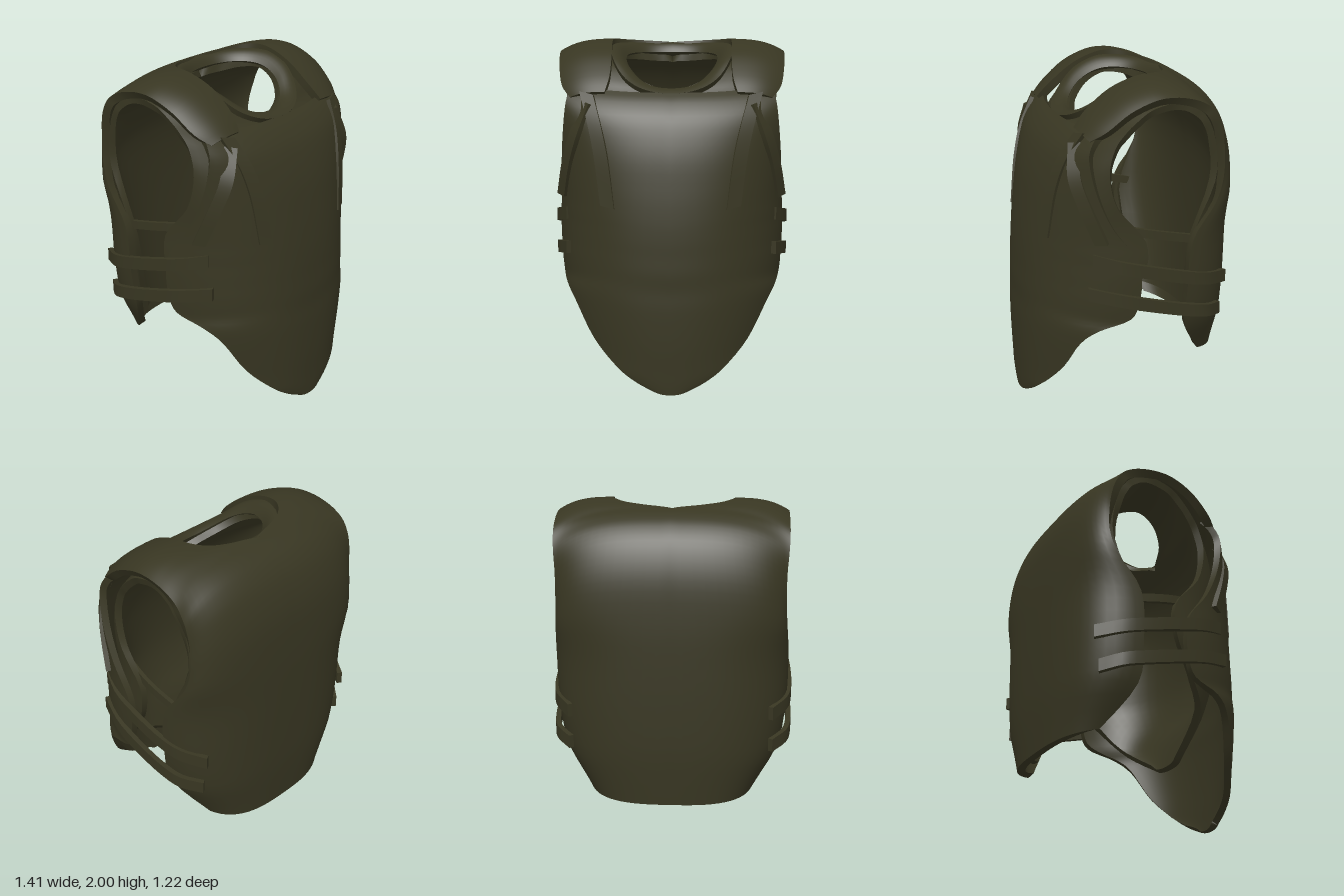
import * as THREE from 'three';
import { mergeGeometries, toCreasedNormals } from 'three/addons/utils/BufferGeometryUtils.js';

const V = (x, y, z) => new THREE.Vector3(x, y, z);

// Catmull-Rom blend through rows of numbers
function sampleRows(rows, t) {
  const n = rows.length - 1;
  const i = Math.min(Math.floor(t * n), n - 1);
  const f = t * n - i;
  const [a, b, c, d] = [rows[Math.max(i - 1, 0)], rows[i], rows[i + 1], rows[Math.min(i + 2, n)]];
  return b.map((p, k) => {
    const m1 = (c[k] - a[k]) / 2, m2 = (d[k] - p) / 2;
    return p + m1 * f + (3 * (c[k] - p) - 2 * m1 - m2) * f * f + (2 * (p - c[k]) + m1 + m2) * f ** 3;
  });
}

// Half panel: each row is [bend, innerX, innerY, innerZ, outerX, outerY, outerZ]
function panel(rows, power) {
  return (u, v) => {
    const [bend, xn, yi, zi, xe, ye, ze] = sampleRows(rows, v);
    const a = Math.min(Math.max(bend, 0.1), 1) * Math.PI / 2;
    const across = Math.sin(u * a) / Math.sin(a);
    const back = Math.pow((1 - Math.cos(u * a)) / (1 - Math.cos(a)), power);
    const x0 = Math.max(xn, 0);
    return V(x0 + (xe - x0) * across, yi + (ye - yi) * back, zi + (ze - zi) * back);
  };
}

// Solid sheet from a surface rule, thickened inwards
function shell(fn, nu, nv, thick) {
  const outer = [], inner = [], e = 1e-3;
  for (let j = 0; j <= nv; j++) {
    for (let i = 0; i <= nu; i++) {
      const u = i / nu, v = j / nv, p = fn(u, v);
      const du = fn(Math.min(u + e, 1), v).sub(fn(Math.max(u - e, 0), v));
      const dv = fn(u, Math.min(v + e, 1)).sub(fn(u, Math.max(v - e, 0)));
      const n = du.cross(dv);
      if (Math.abs(p.x) < 1e-6) n.x = 0;
      outer.push(p);
      inner.push(p.clone().addScaledVector(n.normalize(), -thick));
    }
  }
  const pos = [], at = (i, j) => j * (nu + 1) + i;
  const quad = (a, b, c, d) => [a, b, c, a, c, d].forEach((p) => pos.push(p.x, p.y, p.z));
  const wall = (a, b) => quad(outer[b], outer[a], inner[a], inner[b]);
  for (let j = 0; j < nv; j++) {
    for (let i = 0; i < nu; i++) {
      const [a, b, c, d] = [at(i, j), at(i + 1, j), at(i + 1, j + 1), at(i, j + 1)];
      quad(outer[a], outer[b], outer[c], outer[d]);
      quad(inner[d], inner[c], inner[b], inner[a]);
    }
    wall(at(nu, j), at(nu, j + 1));
    wall(at(0, j + 1), at(0, j));
  }
  for (let i = 0; i < nu; i++) {
    wall(at(i, 0), at(i + 1, 0));
    wall(at(i + 1, nv), at(i, nv));
  }
  const g = new THREE.BufferGeometry();
  g.setAttribute('position', new THREE.Float32BufferAttribute(pos, 3));
  return g;
}

// Copy across x = 0 with the corner order reversed
function mirrored(g) {
  const m = g.clone(), p = m.attributes.position, s = g.attributes.position;
  for (let i = 0; i < p.count; i += 3) {
    [0, 2, 1].forEach((k, c) => p.setXYZ(i + c, -s.getX(i + k), s.getY(i + k), s.getZ(i + k)));
  }
  return m;
}

export function createModel() {
  const group = new THREE.Group();
  const olive = new THREE.MeshStandardMaterial({ color: 0x383622, side: THREE.DoubleSide });
  olive.name = 'olive';
  const add = (name, half) => {
    const mesh = new THREE.Mesh(toCreasedNormals(mergeGeometries([half, mirrored(half)]), 0.85), olive);
    mesh.name = name;
    group.add(mesh);
  };

  // Chest plate, from the pointed hem up to the neckline
  add('frontPanel', shell(panel([
    [0.15, 0, 0.0, 0.6, 0.09, 0.015, 0.59],
    [0.25, 0, 0.06, 0.603, 0.2, 0.07, 0.573],
    [0.35, 0, 0.14, 0.605, 0.31, 0.15, 0.54],
    [0.5, 0, 0.3, 0.61, 0.45, 0.3, 0.455],
    [0.65, 0, 0.5, 0.61, 0.56, 0.5, 0.37],
    [0.8, 0, 0.62, 0.605, 0.62, 0.59, 0.27],
    [0.95, 0, 0.72, 0.605, 0.655, 0.65, 0.1],
    [1, 0, 0.82, 0.6, 0.665, 0.76, 0.05],
    [1, 0, 0.92, 0.595, 0.67, 0.9, 0.04],
    [1, 0, 1.04, 0.585, 0.665, 1.03, 0.07],
    [0.9, 0, 1.2, 0.565, 0.65, 1.2, 0.2],
    [0.8, 0, 1.4, 0.53, 0.635, 1.4, 0.29],
    [0.75, 0, 1.58, 0.47, 0.615, 1.6, 0.33],
    [0.6, 0, 1.68, 0.4, 0.6, 1.7, 0.3],
    [0.4, 0, 1.73, 0.34, 0.58, 1.76, 0.24],
  ], 1.15), 14, 56, 0.04));

  // Back plate continuing over the shoulders into the front flaps
  add('backPanelAndShoulders', shell(panel([
    [0.3, 0.38, 1.735, 0.345, 0.58, 1.7, 0.315],
    [0.3, 0.355, 1.82, 0.27, 0.635, 1.76, 0.235],
    [0.3, 0.35, 1.93, 0.13, 0.66, 1.86, 0.11],
    [0.3, 0.355, 1.99, -0.02, 0.67, 1.92, -0.03],
    [0.3, 0.345, 2.0, -0.13, 0.67, 1.93, -0.14],
    [0.3, 0.28, 1.99, -0.21, 0.67, 1.915, -0.24],
    [0.35, 0.17, 1.98, -0.26, 0.67, 1.89, -0.31],
    [0.5, 0, 1.965, -0.305, 0.67, 1.85, -0.37],
    [0.6, 0, 1.94, -0.37, 0.668, 1.79, -0.41],
    [0.7, 0, 1.885, -0.45, 0.663, 1.72, -0.435],
    [0.8, 0, 1.78, -0.525, 0.655, 1.61, -0.45],
    [0.9, 0, 1.6, -0.58, 0.655, 1.45, -0.45],
    [1, 0, 1.35, -0.6, 0.665, 1.3, -0.4],
    [1, 0, 1.1, -0.605, 0.68, 1.09, -0.26],
    [1, 0, 0.8, -0.605, 0.67, 0.8, -0.24],
    [1, 0, 0.55, -0.6, 0.62, 0.55, -0.25],
    [0.8, 0, 0.28, -0.58, 0.46, 0.31, -0.4],
  ], 1.4), 14, 64, 0.05));

  // Inner padding with a rounded front hem, running over the shoulders and down the back
  add('liner', shell(panel([
    [0.3, 0, 0.35, 0.335, 0.12, 0.36, 0.32],
    [0.7, 0, 0.55, 0.39, 0.43, 0.55, 0.27],
    [0.85, 0, 0.72, 0.46, 0.55, 0.72, 0.14],
    [1, 0, 0.9, 0.5, 0.62, 0.89, 0.01],
    [1, 0, 1.1, 0.5, 0.625, 1.1, 0.0],
    [0.9, 0, 1.31, 0.47, 0.615, 1.3, 0.16],
    [0.8, 0, 1.5, 0.41, 0.61, 1.5, 0.21],
    [0.6, 0, 1.63, 0.34, 0.61, 1.65, 0.18],
    [0.4, 0, 1.71, 0.26, 0.62, 1.74, 0.12],
    [0.3, 0.17, 1.78, 0.19, 0.63, 1.8, 0.06],
    [0.3, 0.26, 1.86, 0.09, 0.64, 1.86, -0.02],
    [0.3, 0.29, 1.915, -0.04, 0.645, 1.89, -0.13],
    [0.3, 0.24, 1.915, -0.15, 0.645, 1.885, -0.22],
    [0.35, 0.13, 1.9, -0.22, 0.645, 1.85, -0.29],
    [0.5, 0, 1.88, -0.28, 0.645, 1.79, -0.35],
    [0.75, 0, 1.79, -0.4, 0.637, 1.66, -0.4],
    [0.9, 0, 1.52, -0.52, 0.63, 1.42, -0.41],
    [1, 0, 1.0, -0.55, 0.62, 1.0, -0.26],
    [0.85, 0, 0.38, -0.535, 0.45, 0.4, -0.37],
  ], 1.2), 12, 72, 0.04));

  // Padded ring around the neck, dipping at the front and turned down inside
  const neckHeight = new THREE.SplineCurve([
    [0.36, 1.715], [0.25, 1.8], [0.13, 1.9], [0, 1.96], [-0.13, 1.975], [-0.31, 1.965],
  ].map(([z, y]) => new THREE.Vector2(z, y)));
  const heightAt = (z) => {
    let lo = 0, hi = 1;
    for (let k = 0; k < 24; k++) {
      const mid = (lo + hi) / 2;
      if (neckHeight.getPoint(mid).x > z) lo = mid; else hi = mid;
    }
    return neckHeight.getPoint(lo).y;
  };
  add('neckRing', shell((u, v) => {
    const angle = v * Math.PI, s = Math.sin(angle), c = Math.cos(angle);
    const z = 0.005 + 0.015 * u + (0.245 + 0.08 * u) * c;
    return V((0.27 + 0.09 * u) * Math.pow(Math.max(s, 0), 0.9), heightAt(z) - 0.06 * (1 - u) ** 2, z);
  }, 6, 32, 0.035));

  // Webbing: a flat band swept along a curve
  const strap = (name, points, width, thick) => {
    const curve = new THREE.CatmullRomCurve3(points.map((p) => V(...p)));
    const w = V(...width);
    add(name, shell((u, v) => curve.getPoint(v).addScaledVector(w, u - 0.5), 2, 16, thick));
  };
  strap('chestStrap', [[0.485, 1.73, 0.352], [0.44, 1.58, 0.435], [0.4, 1.4, 0.488], [0.36, 1.1, 0.528]],
    [-0.08, -0.015, 0.03], 0.025);
  strap('armholeStrap', [[0.49, 1.68, 0.375], [0.56, 1.5, 0.4], [0.61, 1.33, 0.355], [0.65, 1.12, 0.275]],
    [-0.045, -0.01, 0.06], 0.03);
  const sideStrap = (name, y, reach, end) => strap(name, [
    [0.615, y + 0.08, reach], [0.68, y + 0.04, 0.16], [0.7, y, 0],
    [0.7, y - 0.06, -0.24], [0.675, y - 0.09, -0.37], [0.59, y - 0.12, end],
  ], [0, -0.075, 0], 0.03);
  sideStrap('upperSideStrap', 0.94, 0.31, -0.51);
  sideStrap('lowerSideStrap', 0.74, 0.34, -0.48);
  strap('innerSideStrap', [[0.56, 1.18, 0.2], [0.605, 1.13, -0.05], [0.6, 1.06, -0.37]], [0, -0.05, 0], 0.025);

  return group;
}
